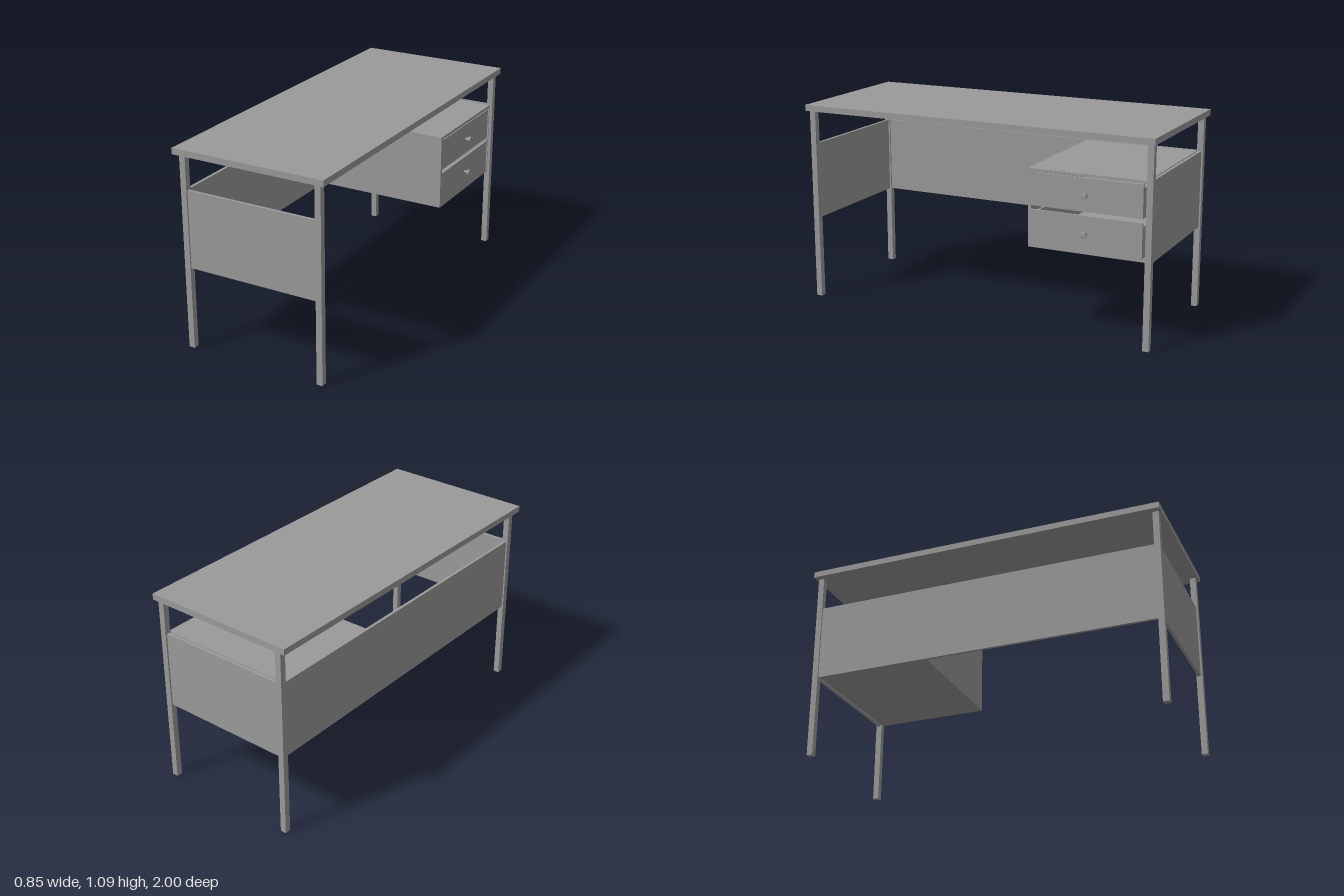
import * as THREE from 'three';

export function createModel() {
  const desk = new THREE.Group();
  desk.name = 'desk';
  const material = new THREE.MeshStandardMaterial({ color: 0x9a9a9a });

  // Box given by its lower and upper corners
  function box(name, [x0, y0, z0], [x1, y1, z1], parent = desk) {
    const mesh = new THREE.Mesh(new THREE.BoxGeometry(x1 - x0, y1 - y0, z1 - z0), material);
    mesh.position.set((x0 + x1) / 2, (y0 + y1) / 2, (z0 + z1) / 2);
    mesh.name = name;
    parent.add(mesh);
  }

  const topY = 1.054, panelLow = 0.45, panelHigh = 0.87;
  const backX = -0.376, openX = 0.387, legZ = 0.971, half = 0.0165;

  box('tableTop', [-0.427, topY, -1], [0.427, 1.087, 1]);

  // Four square legs
  for (const x of [backX, openX])
    for (const z of [-legZ, legZ])
      box('leg', [x - half, 0, z - half], [x + half, topY, z + half]);

  // End panels and the long modesty panel, set between the legs
  const thin = 0.008;
  for (const z of [-legZ, legZ])
    box('endPanel', [backX + half, panelLow, z - thin], [openX - half, panelHigh, z + thin]);
  box('modestyPanel', [backX - thin, panelLow, -legZ + half], [backX + thin, panelHigh, legZ - half]);

  // Drawer cabinet: an open-fronted shell
  const cabinet = new THREE.Group();
  cabinet.name = 'drawerCabinet';
  desk.add(cabinet);
  const x0 = backX + thin, x1 = 0.387, z0 = -0.954, z1 = -0.316;
  const y0 = 0.455, y1 = 0.868, wall = 0.015;
  box('cabinetBottom', [x0, y0, z0], [x1, y0 + wall, z1], cabinet);
  box('cabinetTop', [x0, y1 - wall, z0], [x1, y1, z1], cabinet);
  box('cabinetSide', [x0, y0 + wall, z1 - wall], [x1, y1 - wall, z1], cabinet);
  box('cabinetSide', [x0, y0 + wall, z0], [x1, y1 - wall, z0 + 0.005], cabinet);

  // Round knob profile: slim neck flaring to a flat cap
  const knobGeometry = new THREE.LatheGeometry(
    [[0.008, 0], [0.008, 0.012], [0.012, 0.018], [0.016, 0.021], [0.016, 0.031], [0.013, 0.033], [0, 0.033]]
      .map(([r, h]) => new THREE.Vector2(r, h)), 24);

  // Two drawers with finger gaps above them, each a front, a low tray and a knob
  const left = -0.933, right = z1 - wall, back = x0 + 0.02, front = x1 - 0.014;
  for (const [low, high, knobY] of [[y0 + wall, 0.653, 0.563], [0.675, 0.848, 0.762]]) {
    const drawer = new THREE.Group();
    drawer.name = 'drawer';
    cabinet.add(drawer);
    const rim = high - 0.02;
    box('drawerFront', [front, low, left], [x1, high, right], drawer);
    box('drawerBottom', [back, low, left], [front, low + 0.01, right], drawer);
    box('drawerBack', [back, low + 0.01, left], [back + 0.01, rim, right], drawer);
    for (const z of [left, right - 0.01])
      box('drawerSide', [back + 0.01, low + 0.01, z], [front, rim, z + 0.01], drawer);
    const knob = new THREE.Mesh(knobGeometry, material);
    knob.name = 'knob';
    knob.rotation.z = -Math.PI / 2;
    knob.position.set(x1, knobY, -0.633);
    drawer.add(knob);
  }

  return desk;
}
